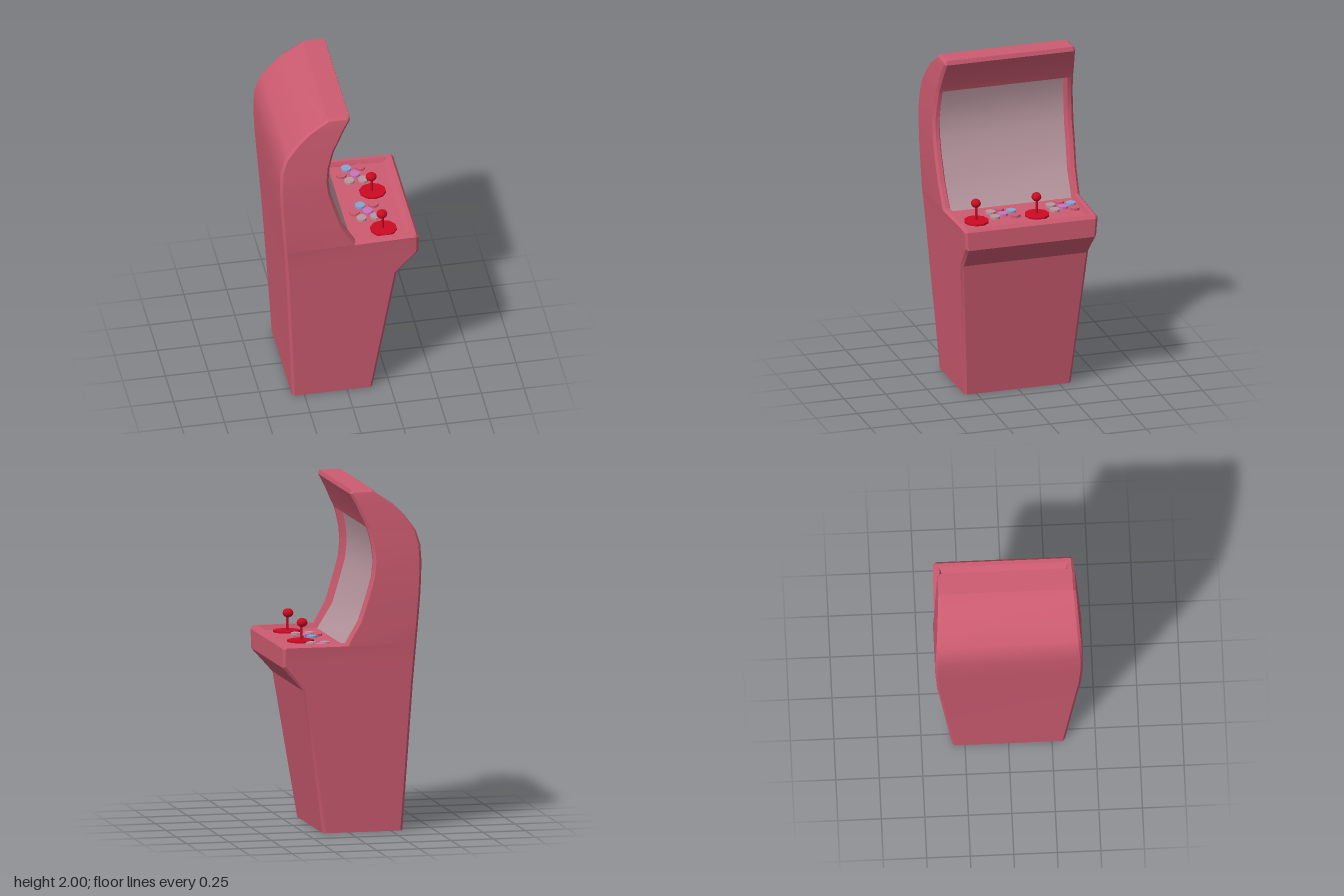
import * as THREE from 'three';
import { toCreasedNormals } from 'three/addons/utils/BufferGeometryUtils.js';

const material = (name, color) => {
  const m = new THREE.MeshStandardMaterial({ color });
  m.name = name;
  return m;
};

// piecewise linear lookup in a list of [key, value]
function lookup(table, k) {
  if (k <= table[0][0]) return table[0][1];
  for (let i = 1; i < table.length; i++) {
    const [k0, v0] = table[i - 1], [k1, v1] = table[i];
    if (k <= k1) return v0 + (v1 - v0) * (k - k0) / (k1 - k0);
  }
  return table[table.length - 1][1];
}

const CHAMFER = 0.015, RIM = 0.037, TOP = 2, DECK = 1.11, DECK_DEPTH = 0.028;

// front edge of the cabinet from floor to top: x, y, recess depth
const FRONT = [
  [0.15, 0, 0], [0.28, 0.84, 0], [0.405, 0.98, 0], [0.405, 1.09, 0], [0.39, DECK, 0],
  [0.367, DECK, 0], [0.337, DECK, DECK_DEPTH], [0.034, DECK, DECK_DEPTH],
  [-0.04, 1.24, 0.035], [-0.087, 1.39, 0.035], [-0.115, 1.49, 0.035], [-0.125, 1.58, 0.035],
  [-0.117, 1.67, 0.035], [-0.098, 1.75, 0.035], [-0.092, 1.77, 0.035], [-0.089, 1.78, 0],
  [-0.062, 1.836, 0], [-0.031, 1.905, 0], [0.007, 1.975, 0], [0, TOP, 0],
];
const SCREEN_START = 7, SCREEN_END = 14;

// back edge and half width by height
const BACK = [[0, -0.32], [0.84, -0.364], [1.11, -0.382], [1.335, -0.4], [1.546, -0.41], [1.67, -0.404],
  [1.757, -0.377], [1.836, -0.32], [1.905, -0.256], [1.975, -0.15], [2, -0.124]];
const WIDTH = [[0, 0.325], [0.84, 0.392], [1.11, 0.413], [1.4, 0.424], [1.58, 0.425], [1.8, 0.412], [2, 0.394]];

// outward mitred normal of the front edge at point i
function frontNormal(i) {
  const seg = (a, b) => new THREE.Vector2(b[1] - a[1], a[0] - b[0]).normalize();
  const last = FRONT.length - 1;
  const n0 = seg(FRONT[Math.max(0, Math.min(i - 1, last - 1))], FRONT[Math.max(1, Math.min(i, last))]);
  const n1 = i < last ? seg(FRONT[i], FRONT[i + 1]) : n0;
  const n = n0.clone().add(n1).normalize();
  return n.divideScalar(n.dot(n0));
}

// one ring of the cabinet: left side, front with recess, right side, back
function ring(i) {
  const [x, y, d] = FRONT[i];
  const n = frontNormal(i);
  const isTop = i === FRONT.length - 1;
  const ix = x - n.x * CHAMFER;
  const iy = isTop ? TOP - CHAMFER : i === 0 ? 0 : y - n.y * CHAMFER;
  const bx = lookup(BACK, iy), by = isTop ? TOP : iy;
  const w = (px) => lookup(WIDTH, y) - 0.025 * Math.max(0, px);
  const wf = w(x), rim = wf - RIM, floor = rim - 0.4 * d;
  const fx = x - n.x * d, fy = i === 0 ? 0 : y - n.y * d;
  const half = [
    [bx + CHAMFER, iy, w(bx)], [ix, iy, w(ix)], [x, y, wf - CHAMFER], [x, y, rim], [fx, fy, floor],
  ];
  const mirrored = half.map(([a, b, c]) => [a, b, -c]).reverse();
  const bw = w(bx) - CHAMFER, bxo = isTop ? lookup(BACK, TOP) : bx;
  return [...half, ...mirrored, [bxo, by, -bw], [bxo, by, bw]];
}

function meshFrom(triangles, mat, name) {
  const g = new THREE.BufferGeometry();
  g.setAttribute('position', new THREE.Float32BufferAttribute(triangles.flat(2), 3));
  const mesh = new THREE.Mesh(toCreasedNormals(g, 0.4), mat);
  mesh.name = name;
  return mesh;
}

export function createModel() {
  const red = material('cabinet red', 0xcc5b70);
  const grey = material('screen grey', 0xb8979f);
  const blue = material('button blue', 0x8aa2d0);
  const violet = material('button violet', 0xc874be);
  const scarlet = material('joystick red', 0xcc0a22);

  const model = new THREE.Group();
  model.name = 'arcadeCabinet';

  // cabinet shell and screen
  const shell = [], screen = [];
  const quad = (out, a, b, c, d) => out.push([a, b, c], [a, c, d]);
  const rings = FRONT.map((_, i) => ring(i));
  for (let i = 0; i < rings.length - 1; i++) {
    const p = rings[i], q = rings[i + 1];
    for (let j = 0; j < p.length; j++) {
      const k = (j + 1) % p.length;
      const isScreen = j === 4 && i >= SCREEN_START && i < SCREEN_END;
      quad(isScreen ? screen : shell, p[j], p[k], q[k], q[j]);
    }
  }

  // top with its chamfers, and underside
  const t = rings[rings.length - 1], b = rings[0];
  quad(shell, t[2], t[7], t[10], t[11]);
  quad(shell, t[0], t[1], t[2], t[11]);
  quad(shell, t[7], t[8], t[9], t[10]);
  for (let j = 1; j < b.length - 1; j++) shell.push([b[0], b[j + 1], b[j]]);
  model.add(meshFrom(shell, red, 'cabinet'), meshFrom(screen, grey, 'screen'));

  // two sets of controls on the deck
  const deckY = DECK - DECK_DEPTH;
  const add = (parent, geometry, mat, name, x, y, z) => {
    const mesh = new THREE.Mesh(geometry, mat);
    mesh.name = name;
    mesh.position.set(x, y, z);
    parent.add(mesh);
    return mesh;
  };
  const disc = (r, h, sides) => toCreasedNormals(new THREE.CylinderGeometry(r, r, h, sides), 0.4);
  const buttonGeometry = disc(0.03, 0.016, 10);
  const baseGeometry = disc(0.078, 0.012, 10);
  const stickGeometry = new THREE.CylinderGeometry(0.007, 0.007, 0.1, 8);
  const ballGeometry = new THREE.SphereGeometry(0.03, 16, 10);

  const sets = [
    { name: 'rightControls', stick: [0.222, -0.089], buttons: [[0.117, -0.328, blue], [0.198, -0.326, red],
      [0.077, -0.27, red], [0.157, -0.268, violet], [0.113, -0.208, grey], [0.193, -0.207, grey]] },
    { name: 'leftControls', stick: [0.216, 0.274], buttons: [[0.129, 0.035, blue], [0.207, 0.035, red],
      [0.085, 0.095, red], [0.163, 0.095, violet], [0.115, 0.155, grey], [0.195, 0.153, grey]] },
  ];
  for (const set of sets) {
    const group = new THREE.Group();
    group.name = set.name;
    for (const [x, z, mat] of set.buttons) add(group, buttonGeometry, mat, 'button', x, deckY + 0.006, z);
    const [sx, sz] = set.stick;
    add(group, baseGeometry, scarlet, 'joystickBase', sx + 0.005, deckY + 0.005, sz).scale.z = 0.92;
    add(group, stickGeometry, scarlet, 'joystickStick', sx, deckY + 0.055, sz);
    add(group, ballGeometry, scarlet, 'joystickBall', sx - 0.004, 1.192, sz).scale.set(1.05, 0.87, 0.93);
    model.add(group);
  }
  return model;
}
